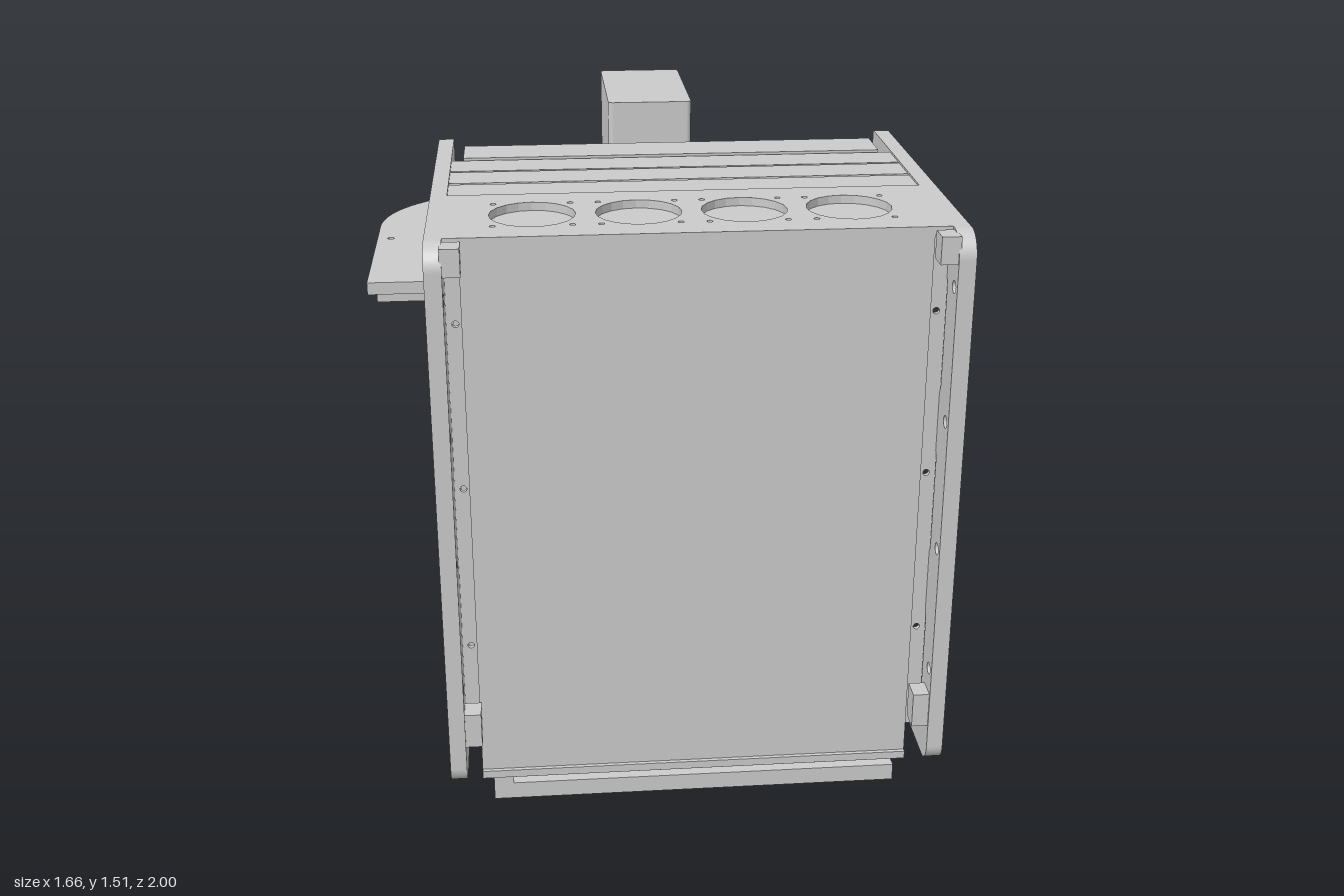
import * as THREE from 'three';

const mat = new THREE.MeshStandardMaterial({ color: 0xcccccc, flatShading: true, side: THREE.DoubleSide });

// Rounded rectangle; r = [min/min, max/min, max/max, min/max] corner radii
function rrect(path, x0, x1, y0, y1, r) {
  const [a, b, c, d] = Array.isArray(r) ? r : [r, r, r, r];
  const q = Math.PI / 2;
  path.moveTo(x0 + a, y0);
  path.lineTo(x1 - b, y0);
  if (b) path.absarc(x1 - b, y0 + b, b, -q, 0);
  path.lineTo(x1, y1 - c);
  if (c) path.absarc(x1 - c, y1 - c, c, 0, q);
  path.lineTo(x0 + d, y1);
  if (d) path.absarc(x0 + d, y1 - d, d, q, 2 * q);
  path.lineTo(x0, y0 + a);
  if (a) path.absarc(x0 + a, y0 + a, a, 2 * q, 3 * q);
  return path;
}
const circle = (x, y, r) => new THREE.Path().absarc(x, y, r, 0, Math.PI * 2, true);
const extrude = (shape, depth) =>
  new THREE.ExtrudeGeometry(shape, { depth, bevelEnabled: false, curveSegments: 10 });

export function createModel() {
  const model = new THREE.Group();

  const add = (name, geo, parent = model) => {
    const m = new THREE.Mesh(geo, mat);
    m.name = name;
    parent.add(m);
    return m;
  };
  const box = (name, x0, x1, y0, y1, z0, z1) =>
    add(name, new THREE.BoxGeometry(x1 - x0, y1 - y0, z1 - z0)
      .translate((x0 + x1) / 2, (y0 + y1) / 2, (z0 + z1) / 2));
  // Shape drawn in (z, y), filling x0..x1
  const sidePlate = (name, shape, x0, x1) =>
    add(name, extrude(shape, x1 - x0).rotateY(-Math.PI / 2).translate(x1, 0, 0));
  // Shape drawn in (x, z), filling y0..y1
  const flatPlate = (name, shape, y0, y1) =>
    add(name, extrude(shape, y1 - y0).rotateX(Math.PI / 2).translate(0, y1, 0));
  const rod = (name, r, len, x, y, z, axis = 'y') => {
    const g = new THREE.CylinderGeometry(r, r, len, 14);
    if (axis === 'z') g.rotateX(Math.PI / 2);
    if (axis === 'x') g.rotateZ(Math.PI / 2);
    return add(name, g.translate(x, y, z));
  };
  // Span mirrored to either side of x = 0
  const span = (s, a, b) => (s > 0 ? [a, b] : [-b, -a]);

  // Slotted upright cable duct with horizontal slots between za and zb
  const cableDuct = (name, x0, x1, y0, y1, z0, z1, za, zb, n) => {
    const s = rrect(new THREE.Shape(), z0, z1, y0, y1, 0);
    const step = (y1 - y0) / n;
    for (let i = 0; i < n; i++) {
      const y = y0 + (i + 0.5) * step;
      s.holes.push(rrect(new THREE.Path(), za, zb, y - step * 0.25, y + step * 0.25, 0.01));
    }
    sidePlate(name, s, x0, x1);
  };

  for (const s of [-1, 1]) {
    // Side frame with three windows
    const frame = rrect(new THREE.Shape(), 0.01, 1.0, 0.14, 1.52, [0.07, 0.05, 0.06, 0.01]);
    for (const [y0, y1] of [[0.24, 0.56], [0.66, 0.985], [1.08, 1.42]])
      frame.holes.push(rrect(new THREE.Path(), 0.11, 0.91, y0, y1, 0.055));
    for (const y of [0.4, 0.73, 1.06, 1.39]) frame.holes.push(circle(0.97, y, 0.015));
    for (const y of [0.61, 1.035])
      for (const z of [0.38, 0.51, 0.63]) frame.holes.push(circle(z, y, 0.008));
    for (const z of [0.03, 0.085]) frame.holes.push(circle(z, 0.91, 0.008));
    sidePlate('sideFrame', frame, ...span(s, 0.57, 0.61));

    // Front mounting strip and corner brackets
    const strip = rrect(new THREE.Shape(), ...span(s, 0.53, 0.572), 0.2, 1.52, 0);
    for (const y of [0.24, 0.48, 0.9, 1.31]) strip.holes.push(circle(s * 0.55, y, 0.008));
    add('mountingStrip', extrude(strip, 0.012).translate(0, 0, 0.89));
    for (const [y0, y1] of [[0.25, 0.34], [1.45, 1.515]])
      box('cornerBracket', ...span(s, 0.53, 0.575), y0, y1, 0.94, 0.995);

    // Cable ducts behind the front panel and at the rear
    cableDuct('frontCableDuct', ...span(s, 0.46, 0.52), 0.2, 1.48, 0.85, 0.9, 0.857, 0.875, 26);
    cableDuct('rearCableDuct', ...span(s, 0.46, 0.55), 0.205, 0.92, -0.12, 0.01, -0.1, -0.045, 16);

    // Table support: rail, gusset and side unit with connector
    box('tableRail', ...span(s, 0.545, 0.575), 0.985, 1.08, -0.17, 0.02);
    box('railFoot', ...span(s, 0.545, 0.6), 0.985, 0.995, -0.62, 0);
    const gusset = new THREE.Shape();
    gusset.moveTo(0.02, 0.92);
    gusset.lineTo(0.01, 0.92);
    gusset.quadraticCurveTo(0.005, 0.985, -0.05, 0.985);
    gusset.lineTo(-0.05, 1.08);
    gusset.lineTo(0.02, 1.08);
    sidePlate('tableGusset', gusset, ...span(s, 0.57, 0.61));
    box('sideUnit', ...span(s, 0.61, 0.82), 1.0, 1.082, -0.54, -0.17);
    rod('sideUnitPlug', 0.024, 0.13, s * 0.7, 1.035, -0.6, 'z');
    rod('sideUnitPlugTip', 0.015, 0.04, s * 0.7, 1.035, -0.675, 'z');
  }

  // Front panel with a bottom lip
  box('frontPanel', -0.535, 0.53, 0.12, 1.52, 0.9, 0.93);
  box('frontPanelLip', -0.535, 0.53, 0.12, 0.14, 0.87, 0.94);

  // Top plate with four fans
  const top = rrect(new THREE.Shape(), -0.6, 0.6, 0.58, 0.93, 0);
  for (let i = 0; i < 4; i++) {
    const x = -0.37 + i * 0.245;
    top.holes.push(circle(x, 0.755, 0.1));
    for (const dx of [-0.09, 0.09])
      for (const dz of [-0.09, 0.09]) top.holes.push(circle(x + dx, 0.755 + dz, 0.007));
    rod('fan', 0.106, 0.02, x, 1.49, 0.755);
  }
  flatPlate('fanPlate', top, 1.5, 1.52);

  // Upright card slabs, rear header and lower rear block
  box('cardSlab', -0.57, 0.57, 0.25, 1.515, 0.467, 0.575);
  box('cardSlab', -0.57, 0.57, 0.25, 1.515, 0.35, 0.455);
  box('cardSlab', -0.57, 0.57, 0.44, 1.515, 0.235, 0.34);
  box('rearHeader', -0.54, 0.54, 1.38, 1.52, 0.1, 0.228);
  box('lowerRearBlock', -0.565, 0.565, 0.27, 0.89, 0.01, 0.235);

  // Inner power unit with cooling ribs and terminal row
  box('powerUnit', -0.28, 0.28, 0.135, 0.94, 0.6, 0.83);
  for (let i = 0; i < 10; i++)
    box('powerUnitRib', -0.34, -0.28, 0.2 + i * 0.07, 0.23 + i * 0.07, 0.64, 0.82);
  for (let i = 0; i < 9; i++)
    box('terminal', -0.2, 0.2, 0.94, 0.985, 0.62 + i * 0.023, 0.632 + i * 0.023);

  // Slotted beam under the front
  for (const z of [0.69, 0.85]) {
    box('beamFlangeLow', -0.51, 0.52, 0.005, 0.05, z, z + 0.015);
    box('beamFlangeHigh', -0.51, 0.52, 0.068, 0.112, z, z + 0.015);
    box('beamFlangeEnd', -0.51, -0.46, 0.05, 0.068, z, z + 0.015);
  }
  for (const y of [0.035, 0.07]) box('beamWeb', -0.51, 0.52, y, y + 0.013, 0.7, 0.855);

  // Rear cabinet with locating pins
  box('rearCabinet', -0.45, 0.44, 0.205, 0.985, -0.53, 0.02);
  for (const z of [-0.13, -0.42]) rod('cabinetPin', 0.01, 0.045, 0.1, 0.185, z);

  // Table with rounded rear corners and bolt holes
  const table = rrect(new THREE.Shape(), -0.83, 0.83, -0.9, 0, [0.355, 0.355, 0, 0]);
  const tableHoles = [
    [-0.67, -0.8], [-0.54, -0.83], [-0.29, -0.8], [0.29, -0.8], [0.67, -0.8], [0.46, -0.73],
    [0.59, -0.73], [-0.79, -0.42], [-0.165, -0.42], [0.165, -0.42], [0.79, -0.42],
    [-0.54, -0.19], [0.54, -0.19], [0.54, -0.58],
  ];
  for (const [x, z] of tableHoles) table.holes.push(circle(x, z, 0.01));
  flatPlate('table', table, 1.08, 1.115);
  for (const x of [-0.59, 0.59])
    for (const z of [-0.57, -0.33, -0.09]) rod('tableBolt', 0.014, 0.004, x, 1.116, z);

  // Items under the table
  box('underTableBlock', 0.41, 0.56, 0.94, 1.08, -0.86, -0.7);
  box('underTableDuct', -0.58, -0.51, 1.04, 1.08, -0.69, -0.22);
  for (let i = 0; i < 12; i++) {
    const z = -0.68 + i * 0.039;
    for (const x of [-0.58, -0.52]) box('ductFinger', x, x + 0.01, 1.0, 1.04, z, z + 0.02);
  }

  // Housing on the table, with screws on its rear face
  flatPlate('housing', rrect(new THREE.Shape(), -0.128, 0.122, -1.0, -0.522, 0.015), 1.115, 1.49);
  for (const x of [-0.09, -0.003, 0.084])
    for (const y of [1.17, 1.27, 1.36, 1.44]) rod('housingScrew', 0.007, 0.004, x, y, -0.999, 'z');

  return model;
}
